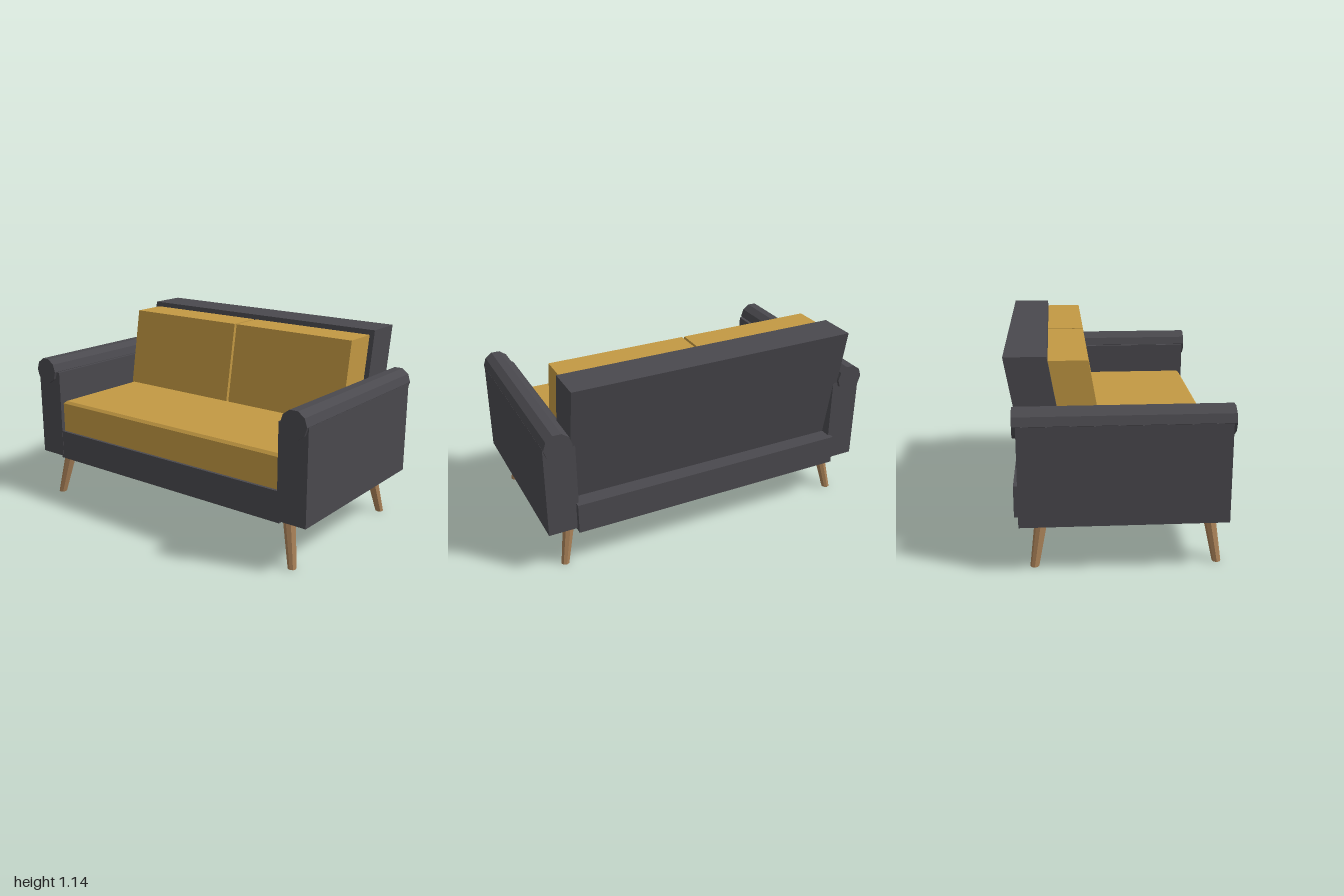
import * as THREE from 'three';

const fabric = new THREE.MeshStandardMaterial({ name: 'charcoal fabric', color: 0x4a494e });
const mustard = new THREE.MeshStandardMaterial({ name: 'mustard fabric', color: 0xc39943 });
const wood = new THREE.MeshStandardMaterial({ name: 'wood', color: 0xa98158 });
for (const m of [fabric, mustard, wood]) m.flatShading = true;

const LEAN = 0.175; // backward slope of the back parts

function add(parent, name, geometry, material) {
  const mesh = new THREE.Mesh(geometry, material);
  mesh.name = name;
  parent.add(mesh);
  return mesh;
}

// Box given by its limits on each axis
function block(x0, x1, y0, y1, z0, z1) {
  return new THREE.BoxGeometry(x1 - x0, y1 - y0, z1 - z0)
    .translate((x0 + x1) / 2, (y0 + y1) / 2, (z0 + z1) / 2);
}

// Moves each vertex sideways in proportion to its height above y0
function shear(geometry, y0, dx, dz) {
  const p = geometry.attributes.position;
  for (let i = 0; i < p.count; i++) {
    const h = p.getY(i) - y0;
    p.setX(i, p.getX(i) + dx * h);
    p.setZ(i, p.getZ(i) + dz * h);
  }
  geometry.computeVertexNormals();
  return geometry;
}

// Seat cushion with a small chamfer round its top edge
function seatCushion() {
  const bevel = 0.015;
  const w = 0.815, front = 0.555, back = -0.3, mid = (front + back) / 2, d = (front - back) / 2;
  const g = new THREE.BoxGeometry(2, 1, 2, 1, 2, 1).toNonIndexed();
  const p = g.attributes.position;
  for (let i = 0; i < p.count; i++) {
    const y = p.getY(i), inset = y > 0.1 ? bevel : 0;
    const height = y > 0.1 ? 0.63 : y < -0.1 ? 0.42 : 0.63 - bevel;
    p.setXYZ(i, p.getX(i) * (w - inset), height, mid + p.getZ(i) * (d - inset));
  }
  g.computeVertexNormals();
  return g;
}

export function createModel() {
  const sofa = new THREE.Group();
  sofa.name = 'sofa';

  // Base and leaning backrest
  add(sofa, 'base', block(-0.835, 0.835, 0.257, 0.435, -0.56, 0.572), fabric);
  add(sofa, 'backrest',
    shear(block(-0.845, 0.845, 0.4, 1.137, -0.461, -0.239), 0.4, 0, -LEAN), fabric);

  // Cushions
  add(sofa, 'seatCushion', seatCushion(), mustard);
  for (const s of [-1, 1]) {
    const inner = s * 0.008, outer = s * 0.815;
    const g = block(Math.min(inner, outer), Math.max(inner, outer), 0.6, 1.108, -0.274, -0.066);
    add(sofa, s > 0 ? 'leftBackCushion' : 'rightBackCushion', shear(g, 0.6, 0, -LEAN), mustard);
  }

  for (const s of [-1, 1]) {
    // Arm panel with a ten-sided roll on top
    const side = s > 0 ? 'left' : 'right';
    const arm = new THREE.Group();
    arm.name = side + 'Arm';
    sofa.add(arm);
    const a = s * 0.82, b = s;
    add(arm, 'armPanel', block(Math.min(a, b), Math.max(a, b), 0.27, 0.815, -0.53, 0.574), fabric);
    const roll = new THREE.CylinderGeometry(0.08, 0.08, 1.14, 10)
      .rotateY(Math.PI / 2).rotateX(Math.PI / 2).translate(s * 0.92, 0.817, 0.02);
    add(arm, 'armRoll', roll, fabric);

    // Tapered splayed legs
    for (const [name, zTop, zFoot] of [['FrontLeg', 0.486, 0.529], ['BackLeg', -0.411, -0.454]]) {
      const h = 0.272;
      const leg = new THREE.CylinderGeometry(0.036, 0.024, h, 8)
        .translate(s * 0.896, h / 2, zFoot);
      add(sofa, side + name, shear(leg, 0, -s * 0.054 / h, (zTop - zFoot) / h), wood);
    }
  }
  return sofa;
}
